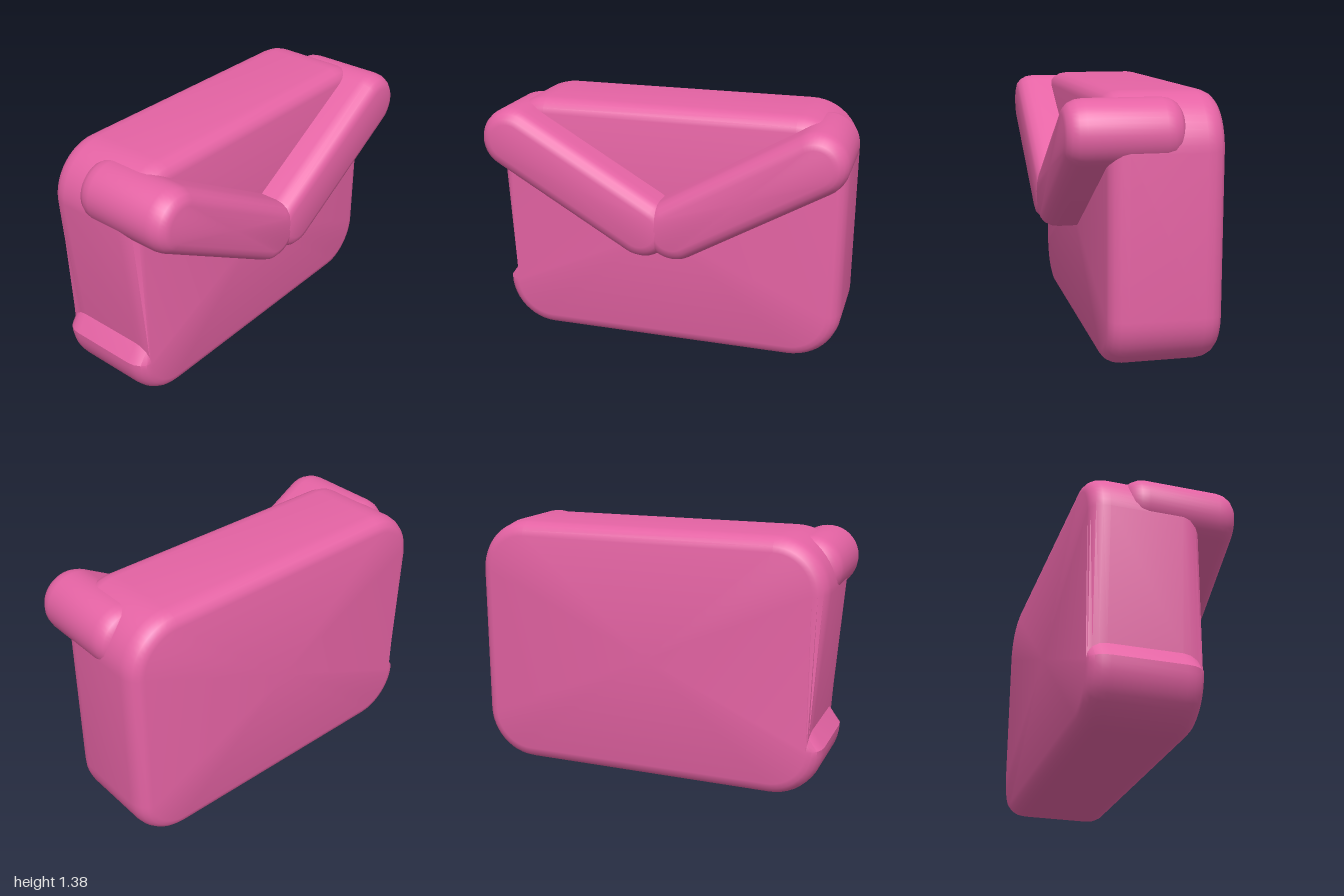
import * as THREE from 'three';
import { toCreasedNormals } from 'three/addons/utils/BufferGeometryUtils.js';

const BEVEL = 0.075;       // how far the bevel spreads sideways
const BEVEL_DEPTH = 0.1;   // how deep the bevel runs in z
const STEPS = 4;

// Outline points (counter-clockwise), each with the direction its bevel grows in
function arc(cx, cy, radius, start, end, segments) {
  const points = [];
  for (let i = 0; i <= segments; i++) {
    const a = start + (end - start) * i / segments;
    const dx = Math.cos(a), dy = Math.sin(a);
    points.push({ x: cx + dx * radius, y: cy + dy * radius, dx, dy });
  }
  return points;
}

// Pillow-edged slab: bevelled rings lofted along z and closed by flat faces
function slab(outline, zBack, zFront) {
  const rings = [];
  for (let i = 0; i <= STEPS; i++) {
    const t = i / STEPS * Math.PI / 2;
    rings.push([Math.sin(t) * BEVEL, zBack + BEVEL_DEPTH * (1 - Math.cos(t))]);
  }
  for (let i = STEPS; i >= 0; i--) {
    const t = i / STEPS * Math.PI / 2;
    rings.push([Math.sin(t) * BEVEL, zFront - BEVEL_DEPTH * (1 - Math.cos(t))]);
  }
  const n = outline.length, positions = [], index = [];
  for (const [s, z] of rings) {
    for (const p of outline) positions.push(p.x + p.dx * s, p.y + p.dy * s, z);
  }
  for (let r = 0; r < rings.length - 1; r++) {
    for (let i = 0; i < n; i++) {
      const j = (i + 1) % n;
      const a = r * n + i, b = r * n + j, c = b + n, d = a + n;
      index.push(a, b, c, a, c, d);
    }
  }
  // Flat back and front faces, fanned from their centres
  const cx = outline.reduce((sum, p) => sum + p.x, 0) / n;
  const cy = outline.reduce((sum, p) => sum + p.y, 0) / n;
  const back = positions.length / 3, front = back + 1, last = (rings.length - 1) * n;
  positions.push(cx, cy, zBack, cx, cy, zFront);
  for (let i = 0; i < n; i++) {
    const j = (i + 1) % n;
    index.push(back, j, i, front, last + i, last + j);
  }
  const geometry = new THREE.BufferGeometry();
  geometry.setAttribute('position', new THREE.Float32BufferAttribute(positions, 3));
  geometry.setIndex(index);
  return toCreasedNormals(geometry, 0.6);
}

export function createModel() {
  const group = new THREE.Group();
  group.name = 'envelope';
  const pink = new THREE.MeshStandardMaterial({ color: 0xe563a4 });
  pink.name = 'pink';

  const add = (name, geometry) => {
    const mesh = new THREE.Mesh(geometry, pink);
    mesh.name = name;
    group.add(mesh);
  };

  // Envelope body: rounded rectangle with a pinched dent low on its -x side
  const x = 0.7, low = 0.28, high = 1.095, r = 0.205, q = Math.PI / 2;
  const body = [
    { x: -x - r, y: low, dx: -0.13, dy: 1.2 },
    ...arc(-x, low, r, 2 * q, 3 * q, 12),
    ...arc(x, low, r, 3 * q, 4 * q, 12),
    ...arc(x, high, r, 0, q, 12),
    ...arc(-x, high, r, q, 2 * q, 12),
  ];
  add('envelopeBody', slab(body, -0.39, 0.19));

  // Flap: two mirrored round-ended bars meeting in a V
  for (const side of [-1, 1]) {
    const inner = [0.09 * side, 0.75], outer = [0.83 * side, 1.18];
    const a = Math.atan2(outer[1] - inner[1], outer[0] - inner[0]);
    const bar = [
      ...arc(...outer, 0.095, a - q, a + q, 20),
      ...arc(...inner, 0.095, a + q, a + 3 * q, 20),
    ];
    add(side > 0 ? 'leftFlapBar' : 'rightFlapBar', slab(bar, -0.19, 0.39));
  }
  return group;
}
